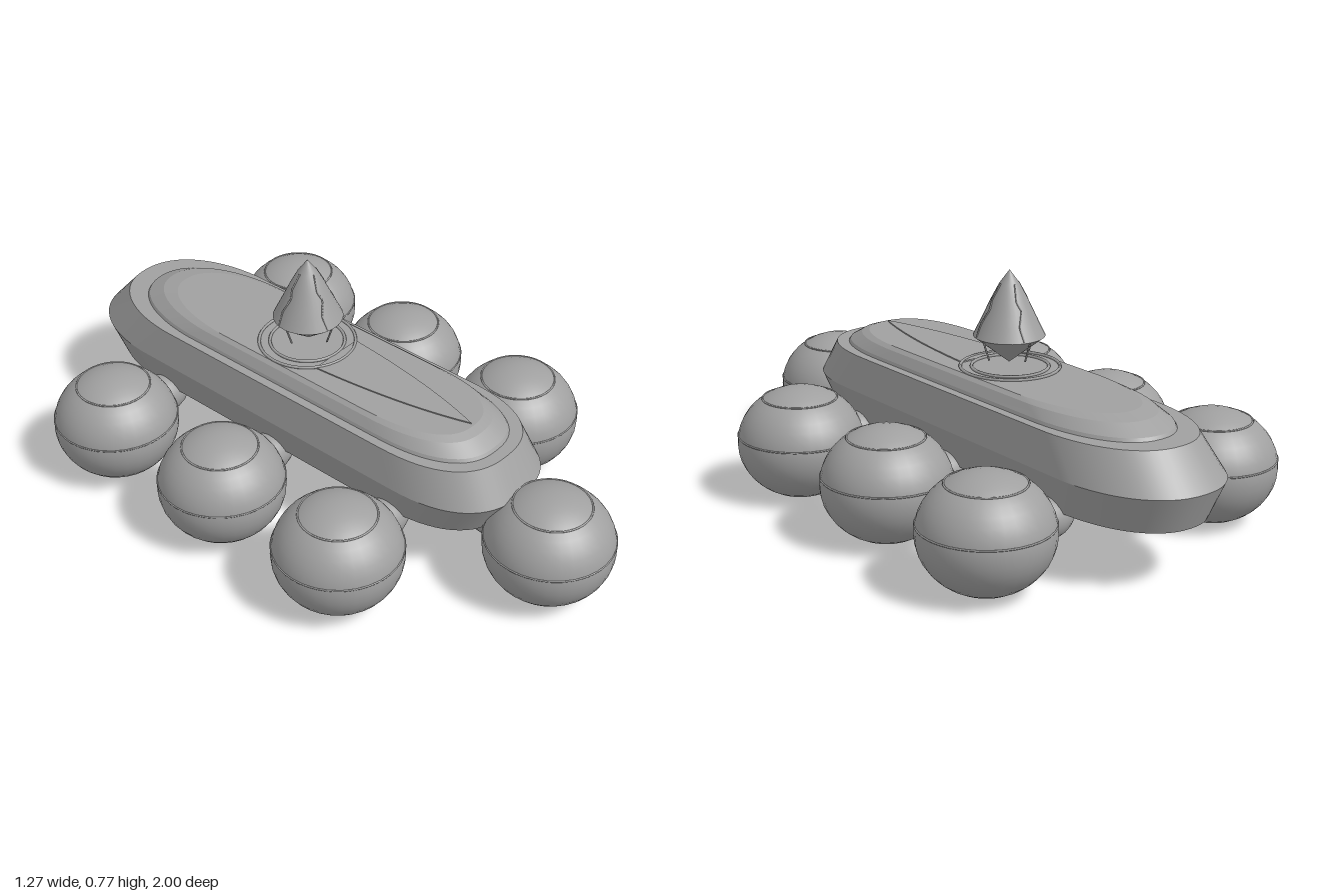
import * as THREE from 'three';

// Plan outline of the hull: superellipse bow and stern joined by straight sides
function outline(w, front, back, n) {
  const pts = [];
  const span = front - back, lf = Math.min(0.32, span * 0.4), lb = Math.min(0.36, span * 0.4);
  for (let i = 0; i < n; i++) {
    const a = (i / n) * Math.PI * 2, c = Math.cos(a), s = Math.sin(a);
    const e = s >= 0 ? 0.8 : 0.9;
    const x = w * Math.sign(c) * Math.abs(c) ** e;
    const m = Math.abs(s) ** e;
    pts.push([x, s >= 0 ? front - lf + lf * m : back + lb - lb * m]);
  }
  return pts;
}

// Stacks outlines [y, halfWidth, front, back]; each band keeps its own vertices for crisp edges
function loft(levels, n = 64) {
  const pos = [], idx = [];
  for (let k = 0; k + 1 < levels.length; k++) {
    const base = pos.length / 3;
    for (const [y, w, f, b] of [levels[k], levels[k + 1]])
      for (const [x, z] of outline(w, f, b, n)) pos.push(x, y, z);
    for (let i = 0; i < n; i++) {
      const j = (i + 1) % n, b0 = base + i, b1 = base + j;
      idx.push(b0, b0 + n, b1, b0 + n, b1 + n, b1);
    }
  }
  const g = new THREE.BufferGeometry();
  g.setAttribute('position', new THREE.Float32BufferAttribute(pos, 3));
  g.setIndex(idx);
  g.computeVertexNormals();
  return g;
}

export function createModel() {
  const model = new THREE.Group();
  const grey = new THREE.MeshStandardMaterial({ color: 0xa0a0a0 });
  grey.name = 'grey';
  const add = (name, geo, parent = model, x = 0, y = 0, z = 0) => {
    const m = new THREE.Mesh(geo, grey);
    m.name = name;
    m.position.set(x, y, z);
    parent.add(m);
    return m;
  };
  const rod = (pts, r) => {
    const path = new THREE.CurvePath();
    const v = pts.map(p => new THREE.Vector3(...p));
    for (let i = 0; i + 1 < v.length; i++) path.add(new THREE.LineCurve3(v[i], v[i + 1]));
    return new THREE.TubeGeometry(path, pts.length * 4, r, 5);
  };
  const hoop = (r, t) => new THREE.TorusGeometry(r, t, 6, 48).rotateX(Math.PI / 2);

  // Hull and raised deck
  add('hull', loft([
    [0.195, 0, -0.1, -0.1], [0.195, 0.21, 0.63, -0.95], [0.31, 0.24, 0.69, -1.0],
    [0.42, 0.217, 0.625, -0.9], [0.42, 0, -0.1, -0.1],
  ]));
  add('deck', loft([
    [0.415, 0.19, 0.59, -0.83], [0.43, 0.185, 0.58, -0.82], [0.458, 0.168, 0.53, -0.76],
    [0.468, 0.155, 0.5, -0.7], [0.468, 0, -0.1, -0.1],
  ]));

  // Thin pointed plate running from the ring to the bow
  const wedge = new THREE.Shape();
  wedge.moveTo(-0.095, 0.04);
  wedge.quadraticCurveTo(-0.07, -0.28, 0, -0.49);
  wedge.quadraticCurveTo(0.07, -0.28, 0.095, 0.04);
  wedge.closePath();
  add('bowPlate', new THREE.ExtrudeGeometry(wedge, { depth: 0.006, bevelEnabled: false })
    .rotateX(-Math.PI / 2), model, 0, 0.466, 0);

  // Rings under the crystal
  add('outerRing', hoop(0.152, 0.005), model, 0, 0.471, -0.16);
  add('innerRing', hoop(0.118, 0.005), model, 0, 0.471, -0.16);

  // Floating crystal with four struts and jagged seams
  const crystal = new THREE.Group();
  crystal.name = 'crystal';
  crystal.position.z = -0.155;
  model.add(crystal);
  const lathe = p => new THREE.LatheGeometry(p.map(q => new THREE.Vector2(...q)), 32);
  add('crystalBase', lathe([[0, 0.482], [0.11, 0.567]]), crystal);
  add('crystalSpire', lathe([[0.11, 0.567], [0.082, 0.625], [0.056, 0.68], [0.031, 0.728], [0, 0.77]]), crystal);
  for (let i = 0; i < 4; i++) {
    const side = new THREE.Group();
    side.name = 'crystalSide';
    side.rotation.y = i * Math.PI / 2;
    crystal.add(side);
    add('strut', rod([[0, 0.575, 0.104], [0, 0.5, 0.077]], 0.003), side);
    add('seam', rod([[-0.004, 0.73, 0.03], [-0.016, 0.68, 0.054], [-0.008, 0.655, 0.068],
      [-0.028, 0.61, 0.085], [-0.026, 0.57, 0.105]], 0.003), side);
  }

  // Spherical pods with seam rings and a rounded coupling to the hull
  function pod(x, z, dx, dz) {
    const g = new THREE.Group();
    g.name = 'pod';
    g.position.set(x, 0.182, z);
    model.add(g);
    add('podShell', new THREE.SphereGeometry(0.2, 32, 20).scale(1, 0.888, 1), g);
    add('podEquatorRing', hoop(0.197, 0.003), g, 0, 0.027, 0);
    add('podCapRing', hoop(0.117, 0.003), g, 0, 0.144, 0);
    const c = new THREE.SphereGeometry(0.065, 20, 14).scale(dx ? 1.55 : 1, 1, dz ? 1.55 : 1);
    add('coupling', c, g, dx * 0.205, -0.012, dz * 0.205);
  }
  for (const s of [-1, 1])
    for (const z of [-0.6, -0.125, 0.35]) pod(s * 0.437, z, -s, 0);
  pod(0, 0.795, 0, -1);

  return model;
}
